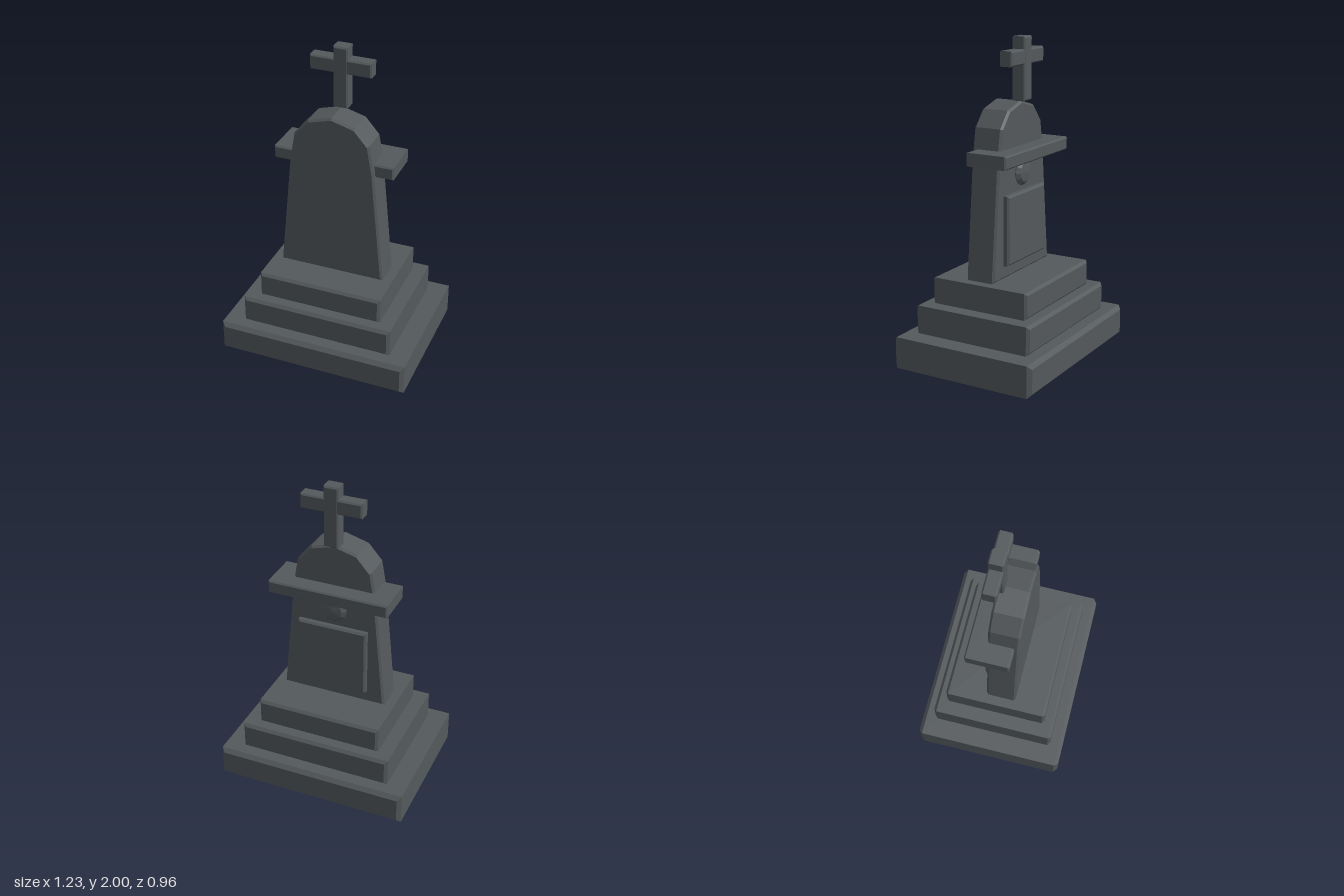
import * as THREE from 'three';

const stone = new THREE.MeshStandardMaterial({ color: 0x54595c, flatShading: true });
stone.name = 'dark grey stone';

// Extrudes an outline from z0 to z1 with a flat chamfer inside the given outline
function chamfered(name, points, z0, z1, b) {
  const shape = new THREE.Shape(points.map(([x, y]) => new THREE.Vector2(x, y)));
  const geo = new THREE.ExtrudeGeometry(shape, {
    depth: z1 - z0 - 2 * b, bevelEnabled: true, bevelThickness: b,
    bevelSize: b, bevelOffset: -b, bevelSegments: 1, steps: 1,
  });
  geo.translate(0, 0, z0 + b);
  const mesh = new THREE.Mesh(geo, stone);
  mesh.name = name;
  return mesh;
}

// Chamfered block, centred on x = 0
function block(name, halfWidth, y0, y1, z0, z1, b) {
  const w = halfWidth;
  return chamfered(name, [[-w, y0], [w, y0], [w, y1], [-w, y1]], z0, z1, b);
}

export function createModel() {
  const group = new THREE.Group();
  group.name = 'gravestone';

  // Stepped plinth
  group.add(
    block('baseStep', 0.615, 0, 0.2, -0.48, 0.48, 0.024),
    block('middleStep', 0.49, 0.2, 0.38, -0.397, 0.397, 0.018),
    block('topStep', 0.4, 0.38, 0.545, -0.33, 0.33, 0.016),
  );

  // Tapered headstone with a faceted round top
  const side = [[0.34, 0.545], [0.268, 1.3], [0.238, 1.47], [0.15, 1.57]];
  const outline = [...side, [0, 1.612], ...side.map(([x, y]) => [-x, y]).reverse()];
  group.add(chamfered('headstone', outline, -0.07, 0.122, 0.013));

  // Ledge wrapping the back and sides
  group.add(block('ledge', 0.383, 1.26, 1.342, -0.18, 0.092, 0.009));

  // Raised panel and domed medallion on the back
  group.add(block('panel', 0.225, 0.63, 1.065, -0.108, -0.06, 0.012));
  const profile = [[0, -0.02], [0.085, -0.02], [0.085, 0.005], [0.06, 0.026], [0, 0.034]]
    .map(([r, y]) => new THREE.Vector2(r, y));
  const medallion = new THREE.Mesh(new THREE.LatheGeometry(profile, 12), stone);
  medallion.name = 'medallion';
  medallion.rotation.x = -Math.PI / 2;
  medallion.position.set(0, 1.175, -0.07);
  group.add(medallion);

  // Cross on top
  const cross = new THREE.Group();
  cross.name = 'cross';
  cross.add(
    block('crossPost', 0.046, 1.615, 2.0, -0.113, -0.023, 0.009),
    block('crossArm', 0.193, 1.833, 1.925, -0.111, -0.025, 0.009),
  );
  group.add(cross);

  return group;
}
